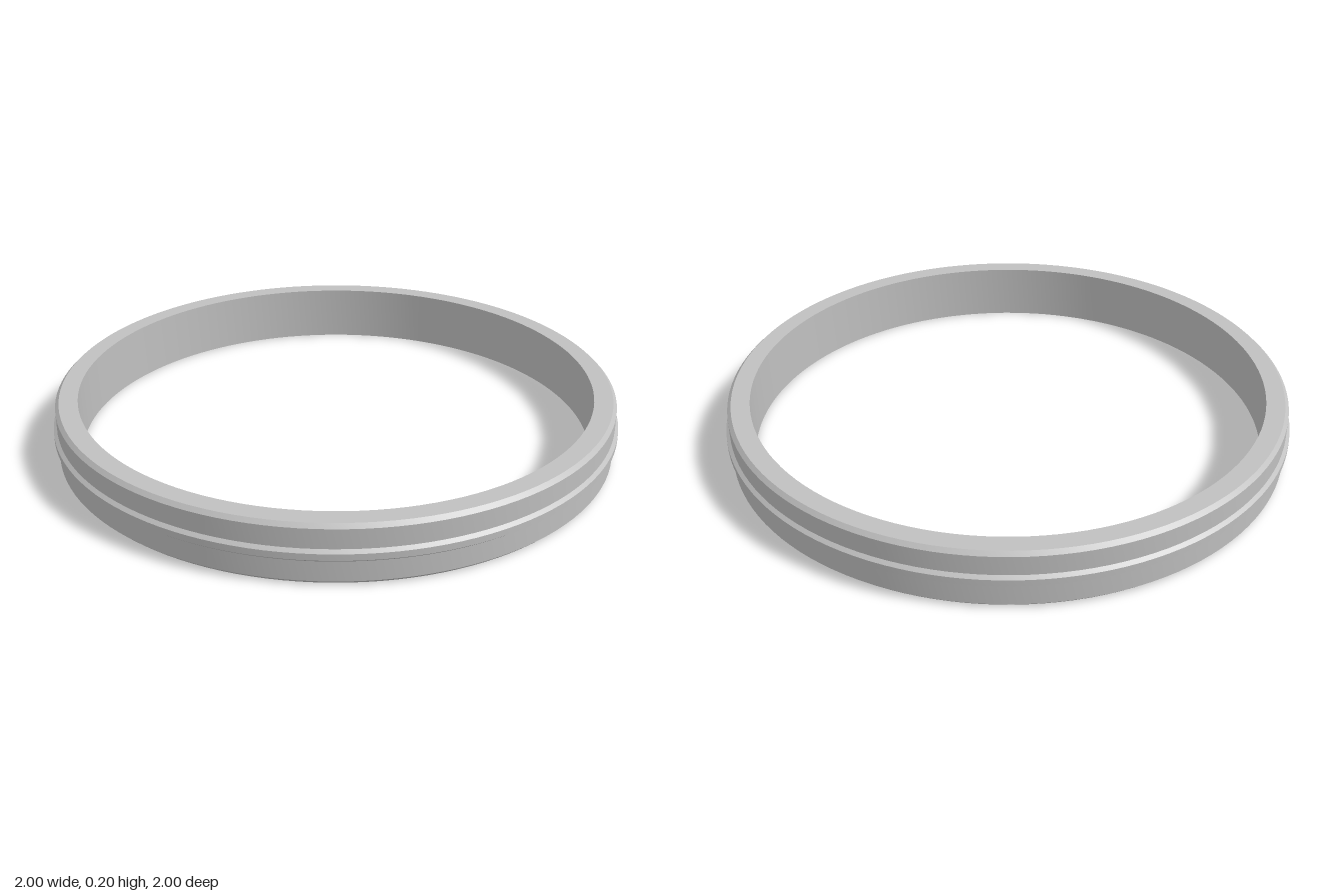
import * as THREE from 'three';
import { toCreasedNormals } from 'three/addons/utils/BufferGeometryUtils.js';

export function createModel() {
  const group = new THREE.Group();
  group.name = 'ring';
  const metal = new THREE.MeshStandardMaterial({ color: 0xc0c0c0 });
  metal.name = 'grey metal';

  const H = 0.204;      // band height
  const INNER = 0.91;   // bore radius
  const OUTER = 0.988;  // band radius
  const RIB = 1.0;      // rib radius

  // Closed cross-section: up the outside, across the top, down the bore
  const profile = [
    [INNER, 0],
    [0.975, 0],
    [OUTER, 0.013],     // lower bevel
    [OUTER, 0.082],
    [RIB, 0.092],       // raised rib
    [RIB, 0.114],
    [OUTER, 0.124],
    [OUTER, H - 0.013], // upper bevel
    [0.975, H],
    [INNER, H],
    [INNER, 0],
  ].map(([r, y]) => new THREE.Vector2(r, y));

  const band = new THREE.Mesh(
    toCreasedNormals(new THREE.LatheGeometry(profile, 128), 0.4), metal);
  band.name = 'ribbedBand';
  group.add(band);
  return group;
}
